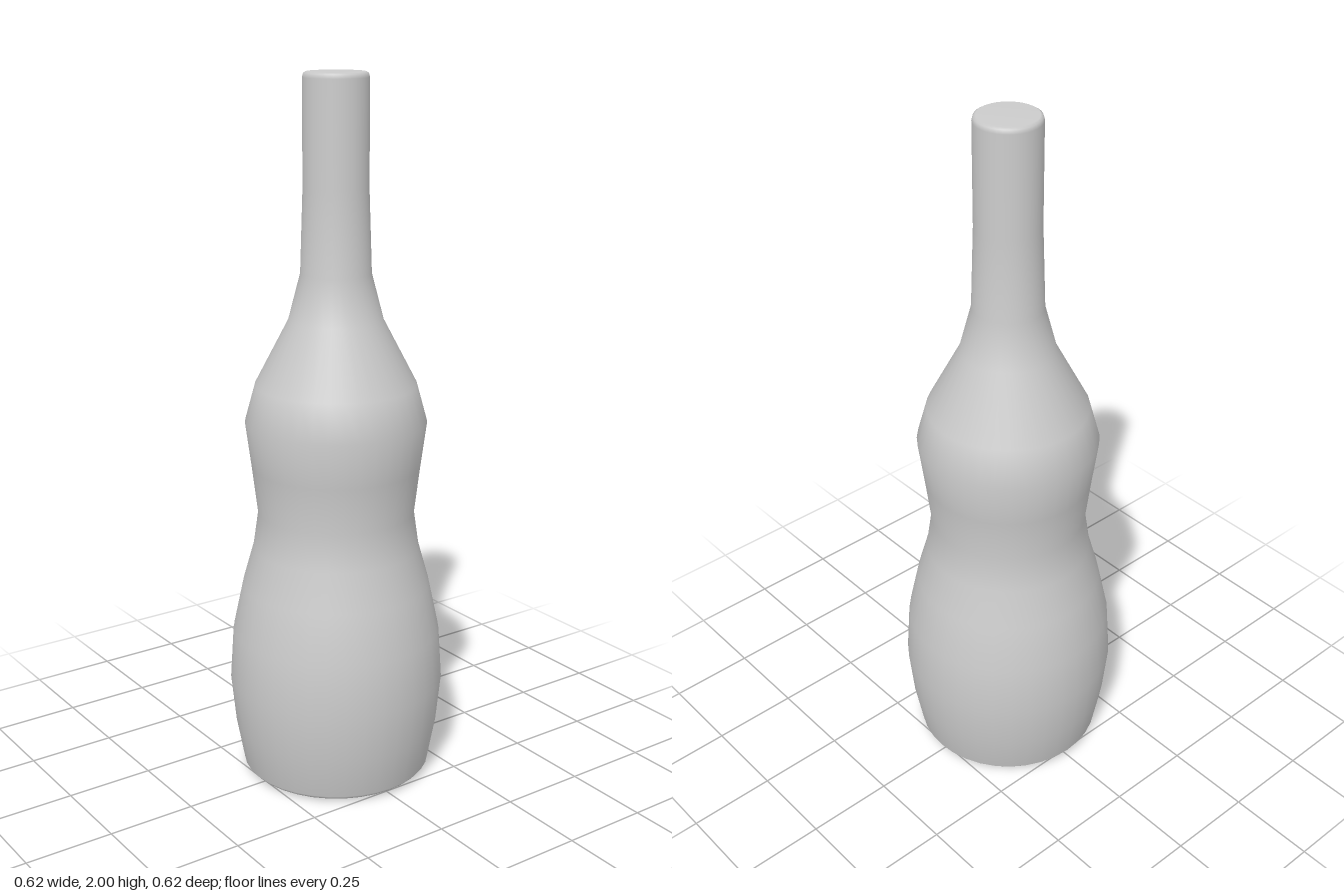
import * as THREE from 'three';

// Outer profile from the base centre to the mouth centre: [radius, height]
const PROFILE = [
  [0, 0], [0.2, 0], [0.25, 0.005], [0.262, 0.009], [0.272, 0.02],
  [0.294, 0.14], [0.308, 0.28], [0.298, 0.43], [0.268, 0.57], [0.237, 0.68],
  [0.222, 0.785], [0.238, 0.92], [0.255, 1.05], [0.226, 1.155], [0.132, 1.335],
  [0.098, 1.465], [0.09, 1.7], [0.09, 1.985], [0.087, 1.996], [0.08, 2], [0, 2],
];

export function createModel() {
  const model = new THREE.Group();
  model.name = 'bottle';

  // One smooth turned body with a waist, long neck and closed ends
  const points = PROFILE.map(([r, y]) => new THREE.Vector2(r, y));
  const body = new THREE.Mesh(
    new THREE.LatheGeometry(points, 36),
    new THREE.MeshStandardMaterial({ color: 0xcccccc }),
  );
  body.name = 'bottleBody';
  model.add(body);
  return model;
}
